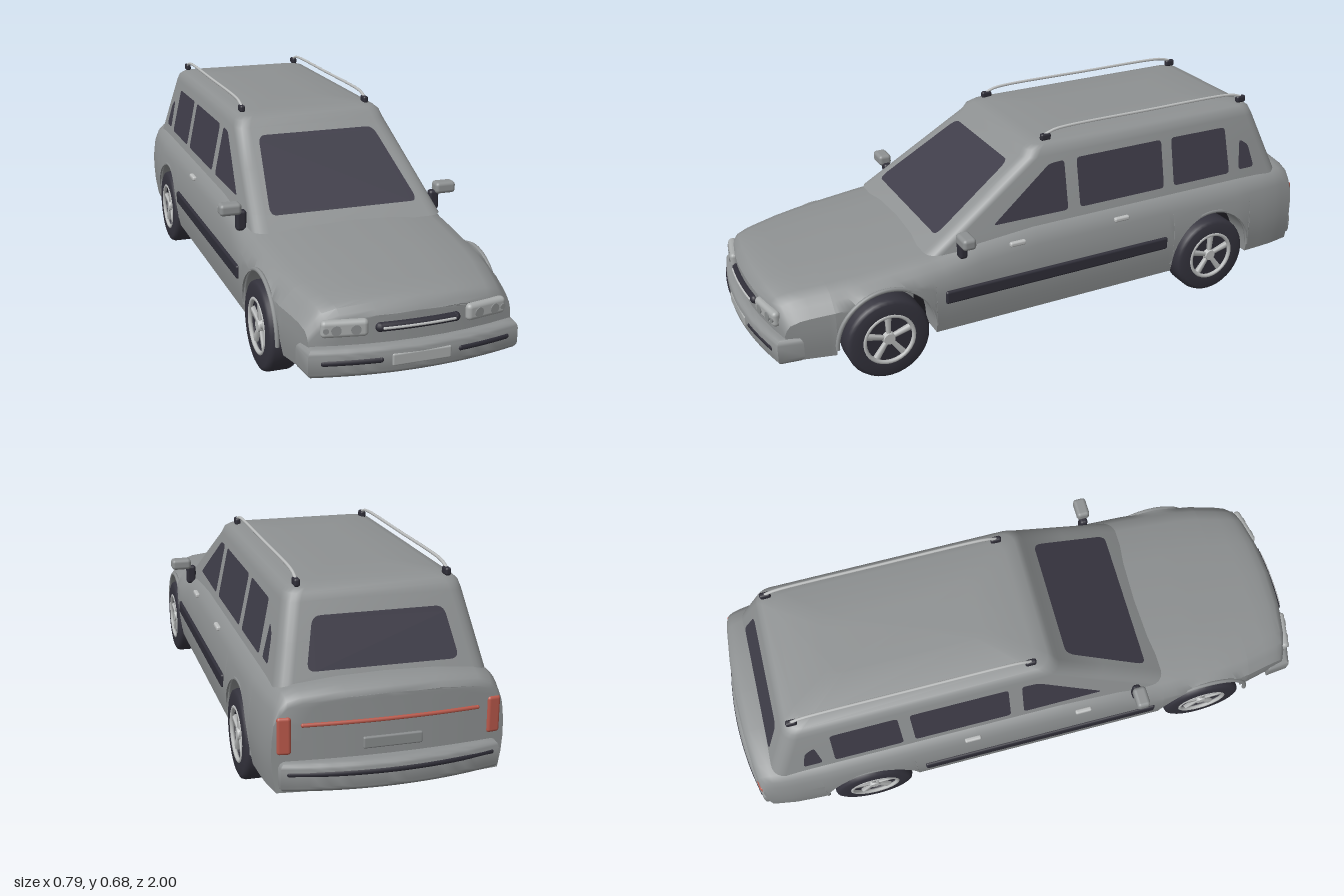
import * as THREE from 'three';
import { toCreasedNormals } from 'three/addons/utils/BufferGeometryUtils.js';
import { RoundedBoxGeometry } from 'three/addons/geometries/RoundedBoxGeometry.js';

const paint = (name, color, side = THREE.FrontSide) => {
  const m = new THREE.MeshStandardMaterial({ color, side });
  m.name = name;
  return m;
};

// Piecewise-linear lookup in [position, value] pairs sorted by position
function lookup(table, p) {
  for (let i = 1; i < table.length; i++) {
    const [a, va] = table[i - 1], [b, vb] = table[i];
    if (p <= b) return va + (vb - va) * Math.max(0, (p - a) / (b - a));
  }
  return table[table.length - 1][1];
}

// Skin a list of rings of equal length
function loft(rings, closed, crease) {
  const n = rings[0].length, index = [];
  for (let i = 0; i < rings.length - 1; i++) {
    for (let j = 0; j < (closed ? n : n - 1); j++) {
      const k = (j + 1) % n, a = i * n + j, b = i * n + k;
      index.push(a, a + n, b, b, a + n, b + n);
    }
  }
  const g = new THREE.BufferGeometry();
  g.setAttribute('position', new THREE.Float32BufferAttribute(rings.flat(2), 3));
  g.setIndex(index);
  return toCreasedNormals(g, crease);
}

// Polygon with rounded corners
function roundedShape(pts, r) {
  const s = new THREE.Shape(), v = pts.map(p => new THREE.Vector2(...p));
  v.forEach((p, i) => {
    const prev = v[(i + v.length - 1) % v.length], next = v[(i + 1) % v.length];
    const a = p.clone().add(prev.clone().sub(p).setLength(r));
    const b = p.clone().add(next.clone().sub(p).setLength(r));
    if (i) s.lineTo(a.x, a.y); else s.moveTo(a.x, a.y);
    s.quadraticCurveTo(p.x, p.y, b.x, b.y);
  });
  return s;
}

const AXLES = [0.62, -0.58], HUB = 0.14, ARCH = 0.16;
const WIDTH = [[-0.96, 0.335], [-0.85, 0.35], [-0.7, 0.357], [0.5, 0.357], [0.7, 0.35], [0.78, 0.34], [0.84, 0.325], [0.97, 0.305]];
const TOP = [[-0.957, 0.365], [-0.95, 0.38], [-0.93, 0.393], [-0.9, 0.398], [0.1, 0.395], [0.3, 0.382], [0.42, 0.36],
  [0.62, 0.34], [0.9, 0.309], [0.945, 0.298], [0.962, 0.283], [0.97, 0.268]];
const noseZ = x => 0.97 - 0.04 * (x / 0.3) ** 2;
const bumperZ = x => 1 - 0.038 * (x / 0.295) ** 2;

// Cross-section of the lower body; its bottom edge follows the wheel arches
function bodySection(z, squeeze = 1) {
  const w = lookup(WIDTH, z), t = lookup(TOP, z), half = [];
  let low = 0.11;
  for (const c of AXLES) if (Math.abs(z - c) <= ARCH) low = HUB + Math.sqrt(Math.max(0, ARCH ** 2 - (z - c) ** 2));
  low = Math.min(low, t - 0.04);
  const shoulder = Math.max(t - 0.06, low + 0.004);
  half.push([0.255, low]);
  for (let k = 0; k <= 4; k++) {
    const y = low + (shoulder - low) * k / 4;
    half.push([w - 0.015 * ((y - 0.22) / 0.12) ** 2, y]);
  }
  half.push([w - 0.025, t - 0.032], [w - 0.045, t - 0.012], [w - 0.085, t], [w * 0.4, t + 0.01]);
  const bend = Math.max(0, (Math.abs(z) - 0.85) / 0.12) * (z > 0 ? 0.04 : -0.02);
  const ring = [...half, [0, t + 0.013], ...half.map(([x, y]) => [-x, y]).reverse()];
  return ring.map(([x, y]) => [x * squeeze, y, z - bend * (x * squeeze / 0.3) ** 2]);
}

function bodyGeometry() {
  const zs = [0.97, 0.962, 0.945, 0.92, 0.9, 0.85, 0.8, 0.42, 0.36, 0.3, 0.1, -0.2, -0.4, -0.8, -0.86, -0.9, -0.93, -0.945, -0.95, -0.957];
  for (const c of AXLES) {
    for (let i = 0; i <= 20; i++) zs.push(c + ARCH * Math.cos(Math.PI * i / 20) * 0.99999);
    zs.push(c + ARCH + 0.0005, c - ARCH - 0.0005);
  }
  zs.sort((a, b) => b - a);
  const steps = [0, 0.25, 0.5, 0.75];
  return loft([...steps.map(s => bodySection(0.97, s)), ...zs.map(z => bodySection(z)),
    ...steps.reverse().map(s => bodySection(-0.957, s))], false, 0.6);
}

// Slopes shared by the cabin walls and the glass
const sideX = y => 0.305 - (y - 0.4) * 0.21;
const frontZ = y => 0.405 - (y - 0.4) * 1.5;
const backZ = y => -0.88 + (y - 0.4) * 0.4;

function cabinGeometry() {
  const levels = [0.36, 0.4, 0.5, 0.6].map(y => [y, sideX(y), frontZ(y), backZ(y), 0.045]);
  levels.push([0.622, 0.256, 0.092, -0.79, 0.045], [0.634, 0.243, 0.072, -0.775, 0.045],
    [0.641, 0.215, 0.03, -0.74, 0.045], [0.645, 0.1, -0.1, -0.6, 0.03], [0.646, 0, -0.35, -0.35, 0]);
  return loft(levels.map(([y, hx, zf, zb, r]) => {
    const ring = [];
    for (let c = 0; c < 4; c++) for (let i = 0; i <= 5; i++) {
      const a = (c + i / 5) * Math.PI / 2;
      const sx = c === 0 || c === 3 ? 1 : -1;
      ring.push([sx * (hx - r) + r * Math.cos(a), y, (c < 2 ? zf - r : zb + r) + r * Math.sin(a)]);
    }
    return ring;
  }), true, 0.7);
}

export function createModel() {
  const car = new THREE.Group();
  car.name = 'estateCar';
  const body = paint('body grey', 0x8e9192), glass = paint('tinted glass', 0x3f3d49, THREE.DoubleSide);
  const trim = paint('dark trim', 0x2f2e38), under = paint('underside black', 0x1d1c22);
  const rubber = paint('tyre rubber', 0x34333d), chrome = paint('chrome', 0xbcbebe);
  const lamp = paint('lamp', 0xa8abab), lens = paint('lamp lens', 0x888b8c), red = paint('tail red', 0xb8584a);

  const add = (name, geo, mat, x = 0, y = 0, z = 0, parent = car) => {
    const m = new THREE.Mesh(geo, mat);
    m.name = name;
    m.position.set(x, y, z);
    parent.add(m);
    return m;
  };
  const box = (w, h, d, r) => new RoundedBoxGeometry(w, h, d, 3, r);
  const tube = (pts, r, n = 24) => new THREE.TubeGeometry(new THREE.CatmullRomCurve3(pts.map(p => new THREE.Vector3(...p))), n, r, 8);
  const strip = (name, x0, x1, y, r, zAt, mat) => {
    const pts = [0, 1, 2, 3, 4, 5, 6].map(i => x0 + (x1 - x0) * i / 6).map(x => [x, y, zAt(x)]);
    add(name, tube(pts, r), mat);
    for (const p of [pts[0], pts[6]]) add(name + 'End', new THREE.SphereGeometry(r, 10, 8), mat, ...p);
  };
  const pane = (name, pts, r, place) => {
    const g = new THREE.ShapeGeometry(roundedShape(pts, r), 5), p = g.attributes.position;
    for (let i = 0; i < p.count; i++) p.setXYZ(i, ...place(p.getX(i), p.getY(i)));
    g.computeVertexNormals();
    add(name, g, glass);
  };

  // Shell and underside
  add('lowerBody', bodyGeometry(), body);
  add('cabin', cabinGeometry(), body);
  add('floor', new THREE.BoxGeometry(0.515, 0.19, 1.42), under, 0, 0.207, -0.21);
  add('frontValance', new THREE.BoxGeometry(0.515, 0.16, 0.42), body, 0, 0.192, 0.71);
  add('floorPan', new THREE.BoxGeometry(0.5, 0.03, 0.92), under, 0, 0.102, 0);

  // Windows
  pane('windscreen', [[-0.247, 0.398], [0.247, 0.398], [0.2, 0.582], [-0.2, 0.582]], 0.022, (x, y) => [x, y, frontZ(y) + 0.005]);
  pane('rearWindow', [[-0.22, 0.425], [0.22, 0.425], [0.19, 0.565], [-0.19, 0.565]], 0.025, (x, y) => [x, y, backZ(y) - 0.004]);
  const sideWindows = {
    frontDoorWindow: [[0.24, 0.418], [-0.03, 0.415], [-0.03, 0.578], [0.025, 0.575]],
    rearDoorWindow: [[-0.075, 0.415], [-0.4, 0.415], [-0.4, 0.578], [-0.075, 0.578]],
    loadBayWindow: [[-0.44, 0.415], [-0.67, 0.415], [-0.66, 0.576], [-0.44, 0.578]],
    quarterWindow: [[-0.71, 0.42], [-0.775, 0.42], [-0.755, 0.5], [-0.72, 0.525]],
  };

  // Bumpers: one plan outline, bevelled, used at both ends
  const plan = new THREE.Shape();
  plan.moveTo(-0.3, 0.9);
  plan.lineTo(0.3, 0.9);
  plan.lineTo(0.295, 0.94);
  plan.quadraticCurveTo(0, 1.016, -0.295, 0.94);
  const bumper = new THREE.ExtrudeGeometry(plan, { depth: 0.042, bevelSize: 0.022, bevelThickness: 0.022, bevelSegments: 5, curveSegments: 20 });
  const bumperGeo = toCreasedNormals(bumper.rotateX(Math.PI / 2), 0.7);
  add('frontBumper', bumperGeo, body, 0, 0.176, 0);
  add('rearBumper', bumperGeo, body, 0, 0.18, 0).rotation.y = Math.PI;
  strip('rearBumperStrip', -0.29, 0.29, 0.172, 0.01, x => -bumperZ(x) + 0.007, trim);
  add('frontPlate', box(0.175, 0.036, 0.012, 0.005), lamp, 0, 0.157, 0.995);

  // Grille and tail details
  strip('grille', -0.112, 0.112, 0.244, 0.014, x => noseZ(x) + 0.001, trim);
  strip('grilleBar', -0.105, 0.105, 0.244, 0.004, x => noseZ(x) + 0.014, chrome);
  strip('tailStrip', -0.25, 0.25, 0.303, 0.006, x => -0.957 + 0.018 * (x / 0.3) ** 2, red);
  add('rearPlate', box(0.17, 0.034, 0.012, 0.005), lens, 0, 0.24, -0.957);

  for (const s of [1, -1]) {
    const side = s > 0 ? 'left' : 'right';
    for (const [name, pts] of Object.entries(sideWindows)) {
      pane(side + name, pts, 0.014, (z, y) => [s * (sideX(y) + 0.004), y, z]);
    }
    strip(side + 'BumperStrip', s * 0.118, s * 0.273, 0.16, 0.01, x => bumperZ(x) - 0.006, trim);

    // Headlamp with three round lenses
    const head = new THREE.Group();
    head.name = side + 'Headlamp';
    head.position.set(s * 0.21, 0.249, noseZ(0.21));
    head.rotation.y = s * 0.19;
    car.add(head);
    add('lampHousing', box(0.132, 0.05, 0.028, 0.013), lamp, 0, 0, 0, head);
    for (const [x, r] of [[-0.03, 0.014], [0.024, 0.014], [0.052, 0.008]]) {
      add('lampLens', new THREE.CylinderGeometry(r, r, 0.008, 16).rotateX(Math.PI / 2), lens, s * x, -0.001, 0.013, head);
    }
    add(side + 'TailLamp', box(0.04, 0.108, 0.03, 0.009), red, s * 0.3, 0.275, -0.93).rotation.y = -s * 0.13;

    // Side moulding, handles and mirror
    add(side + 'Moulding', box(0.016, 0.044, 0.82, 0.0075), trim, s * 0.356, 0.233, 0.02);
    for (const z of [0.17, -0.215]) add(side + 'DoorHandle', box(0.016, 0.016, 0.056, 0.006), chrome, s * 0.338, 0.355, z);
    add(side + 'Mirror', box(0.07, 0.038, 0.045, 0.012), body, s * 0.362, 0.418, 0.36);
    add(side + 'MirrorStalk', box(0.034, 0.066, 0.028, 0.01), trim, s * 0.326, 0.377, 0.358);

    // Roof rail on two feet
    add(side + 'RoofRail', tube([[0, 0.652, 0.02], [0, 0.665, -0.015], [0, 0.67, -0.06], [0, 0.671, -0.38],
      [0, 0.67, -0.69], [0, 0.665, -0.73], [0, 0.652, -0.765]], 0.005, 40), chrome, s * 0.22, 0, 0);
    for (const z of [0.012, -0.758]) add(side + 'RailFoot', box(0.018, 0.024, 0.036, 0.007), trim, s * 0.22, 0.647, z);

    // Wheels and arch lips
    for (const z of AXLES) {
      add(side + 'ArchLip', new THREE.TorusGeometry(0.163, 0.007, 8, 28, Math.PI).rotateY(Math.PI / 2), body, s * 0.345, HUB, z);
      const wheel = new THREE.Group();
      wheel.name = side + (z > 0 ? 'FrontWheel' : 'RearWheel');
      wheel.position.set(s * 0.312, 0.136, z);
      wheel.rotation.y = s * Math.PI / 2;
      car.add(wheel);
      const profile = [[0.08, -0.045], [0.122, -0.045], [0.132, -0.04], [0.136, -0.03], [0.136, 0.03], [0.132, 0.04], [0.122, 0.045], [0.086, 0.045], [0.084, 0.02]];
      const tyre = new THREE.LatheGeometry(profile.map(p => new THREE.Vector2(...p)), 36).rotateX(Math.PI / 2);
      add('tyre', toCreasedNormals(tyre, 0.8), rubber, 0, 0, 0, wheel);
      add('wheelDisc', new THREE.CylinderGeometry(0.088, 0.088, 0.066, 28).rotateX(Math.PI / 2), trim, 0, 0, -0.005, wheel);
      add('rimRing', new THREE.TorusGeometry(0.081, 0.007, 8, 32), chrome, 0, 0, 0.041, wheel);
      add('hubCap', new THREE.CylinderGeometry(0.018, 0.022, 0.018, 16).rotateX(Math.PI / 2), chrome, 0, 0, 0.035, wheel);
      for (let i = 0; i < 5; i++) {
        const spoke = new THREE.CylinderGeometry(0.013, 0.009, 0.068, 4).rotateY(Math.PI / 4).translate(0, 0.045, 0);
        add('spoke', spoke, chrome, 0, 0, 0.032, wheel).rotation.z = i * Math.PI * 0.4;
      }
    }
  }
  return car;
}
